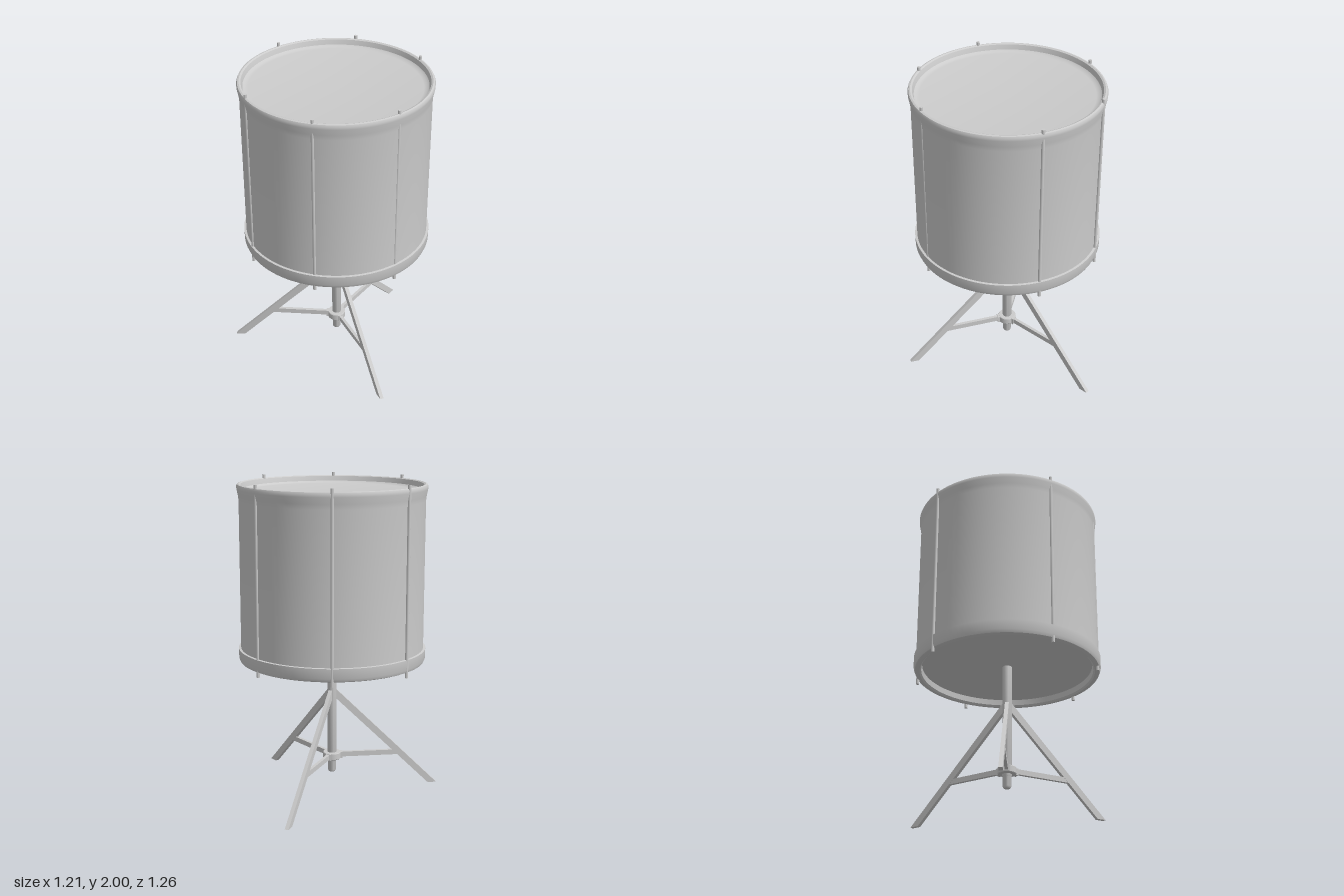
import * as THREE from 'three';
import { toCreasedNormals } from 'three/addons/utils/BufferGeometryUtils.js';

const CX = -0.01, CZ = -0.045;

export function createModel() {
  const model = new THREE.Group();
  model.name = 'drumOnStand';
  // everything is arranged around the axis of the drum
  const axis = new THREE.Group();
  axis.name = 'drumAxis';
  axis.position.set(CX, 0, CZ);
  model.add(axis);
  const material = new THREE.MeshStandardMaterial({ color: 0xcccccc });

  const add = (name, geometry, parent = axis) => {
    const mesh = new THREE.Mesh(geometry, material);
    mesh.name = name;
    parent.add(mesh);
    return mesh;
  };
  const lathe = (name, profile, segments) => add(name, toCreasedNormals(
    new THREE.LatheGeometry(profile.map(([r, y]) => new THREE.Vector2(r, y)), segments), 0.6));

  // drum: recessed bottom skin, lower hoop, shell, flared top hoop, recessed top skin
  lathe('drumBody', [
    [0, 0.925], [0.53, 0.925], [0.535, 0.89], [0.545, 0.88], [0.56, 0.88],
    [0.574, 0.886], [0.582, 0.905], [0.583, 0.965], [0.569, 0.967],
    [0.569, 1.88], [0.573, 1.91], [0.581, 1.95], [0.582, 1.966],
    [0.577, 1.977], [0.567, 1.98], [0.556, 1.975], [0.551, 1.96],
    [0.547, 1.945], [0.535, 1.936], [0.515, 1.933], [0, 1.933],
  ], 96);

  // tension rods, unevenly spaced round the shell
  for (const degrees of [-1, 77, 128, 178.5, 257, 308]) {
    const a = THREE.MathUtils.degToRad(degrees);
    const rod = add('tensionRod', new THREE.CylinderGeometry(0.01, 0.01, 1.145, 12));
    rod.position.set(0.57 * Math.cos(a), 1.4275, -0.006 + 0.57 * Math.sin(a));
  }

  // centre pole with a narrower tip
  lathe('pole', [
    [0, 0.135], [0.02, 0.135], [0.026, 0.145], [0.026, 0.205],
    [0.029, 0.21], [0.029, 0.93],
  ], 24);

  // collar holding the braces
  lathe('collar', [
    [0.028, 0.222], [0.054, 0.222], [0.057, 0.226], [0.057, 0.262],
    [0.054, 0.266], [0.028, 0.266],
  ], 24);

  // three slanted legs with flat feet, each tied to the collar by a brace
  const legs = [[90, 0.675, 0.03], [-30, 0.704, 0.003], [210, 0.685, 0.03]];
  for (const [degrees, reach, foot] of legs) {
    const leg = new THREE.Group();
    leg.name = 'legAssembly';
    leg.rotation.y = -THREE.MathUtils.degToRad(degrees);
    axis.add(leg);

    const side = new THREE.Shape([
      [reach - 0.056, foot], [reach, foot], [0.028, 0.68], [0.022, 0.68], [0.022, 0.625],
    ].map(([x, y]) => new THREE.Vector2(x, y)));
    const bar = new THREE.ExtrudeGeometry(side, { depth: 0.024, bevelEnabled: false });
    bar.translate(0, 0, -0.012);
    add('leg', bar, leg);

    const brace = add('brace', new THREE.BoxGeometry(0.38, 0.032, 0.02), leg);
    brace.position.set(0.235, 0.247, 0);
    const clip = add('braceClip', new THREE.BoxGeometry(0.035, 0.042, 0.034), leg);
    clip.position.set(0.05, 0.244, 0);
  }
  return model;
}
